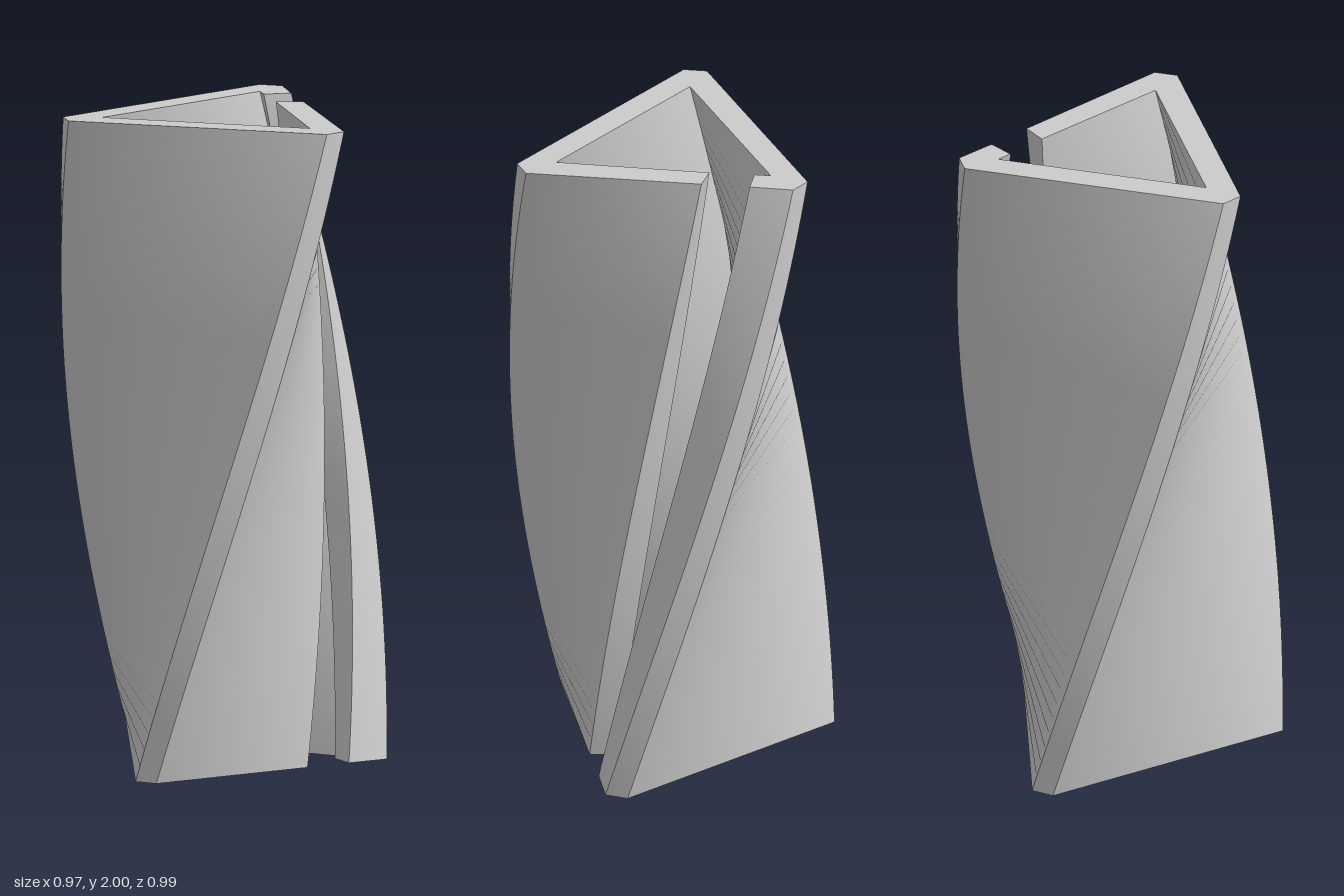
import * as THREE from 'three';
import { ParametricGeometry } from 'three/addons/geometries/ParametricGeometry.js';

const HEIGHT = 2;
const TWIST = THREE.MathUtils.degToRad(72);
const AXIS_X = -0.017;
const LAYERS = 40;

// Plan outline in (x, -z), counter-clockwise: an open triangular channel
function makeProfile() {
  const origin = new THREE.Vector2();
  const corner = (x, y, turn) =>
    new THREE.Vector2(x, y).rotateAround(origin, turn * Math.PI * 2 / 3);
  const points = [new THREE.Vector2(0.379, -0.101)]; // lip, outer edge
  for (let i = 0; i < 3; i++) { // blunt outer corners
    points.push(corner(0.496, -0.036, i), corner(0.496, 0.036, i));
  }
  points.push(new THREE.Vector2(0.251, -0.177), new THREE.Vector2(0.221, -0.099)); // wall end
  for (let i = 2; i >= 0; i--) points.push(corner(0.382, 0, i)); // sharp inner corners
  points.push(new THREE.Vector2(0.338, -0.025)); // lip, inner edge
  return points;
}

// Turn an outline point to its angle at height fraction v
function twisted(p, v) {
  return p.clone().rotateAround(new THREE.Vector2(), (v - 0.5) * TWIST)
    .add(new THREE.Vector2(AXIS_X, 0));
}

export function createModel() {
  const group = new THREE.Group();
  group.name = 'twistedChannel';
  const grey = new THREE.MeshStandardMaterial({ color: 0xcccccc });
  grey.name = 'light grey';
  const add = (geometry, name) => {
    const mesh = new THREE.Mesh(geometry, grey);
    mesh.name = name;
    group.add(mesh);
    return mesh;
  };

  const profile = makeProfile();

  // One smooth twisted strip for each side of the outline
  const names = ['lipOuterFace', 'lipCorner', 'backOuterFace', 'leftCorner', 'sideOuterFace',
    'frontCorner', 'frontOuterFace', 'wallEnd', 'frontInnerFace', 'sideInnerFace',
    'backInnerFace', 'lipInnerFace', 'lipEnd'];
  profile.forEach((a, i) => {
    const b = profile[(i + 1) % profile.length];
    const strip = new ParametricGeometry((u, v, target) => {
      const p = twisted(a.clone().lerp(b, u), v);
      target.set(p.x, v * HEIGHT, -p.y);
    }, 1, LAYERS);
    add(strip, names[i]);
  });

  // Flat ends
  const top = new THREE.ShapeGeometry(new THREE.Shape(profile.map(p => twisted(p, 1))));
  top.rotateX(-Math.PI / 2);
  add(top, 'topEnd').position.y = HEIGHT;

  const bottom = new THREE.ShapeGeometry(new THREE.Shape(profile.map(p => {
    const q = twisted(p, 0);
    return new THREE.Vector2(q.x, -q.y);
  }).reverse()));
  bottom.rotateX(Math.PI / 2);
  add(bottom, 'bottomEnd');

  return group;
}
